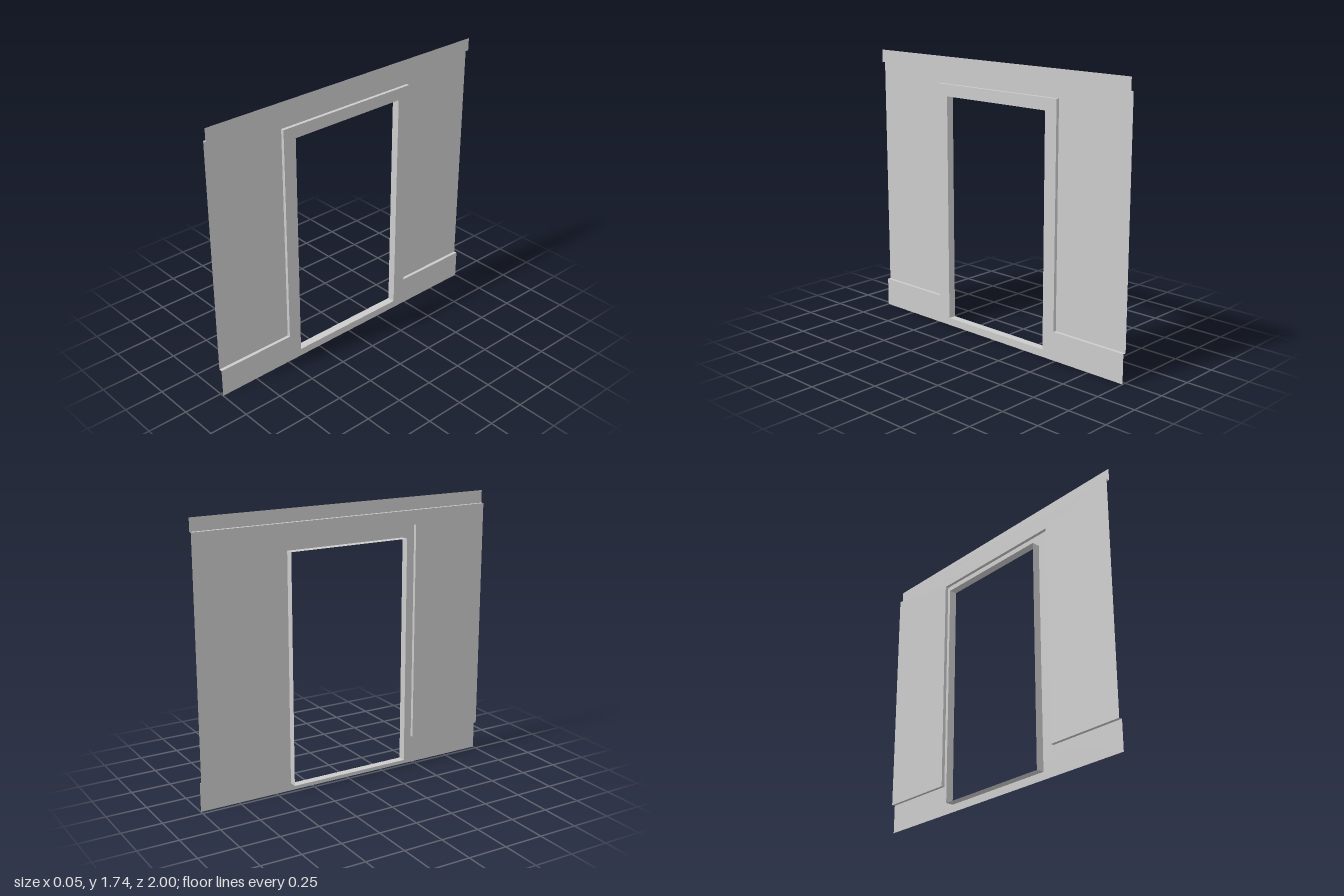
import * as THREE from 'three';

const FRONT = 0.025, WALL = 0.004, BACK = -0.025; // x of trim face, wall face and jamb end
const HALF = 1, TOP = 1.743, CORNICE = 1.663, BASE = 0.182;
const TRIM_Z = 0.485, TRIM_TOP = 1.572;
const DOOR_Z = 0.4, DOOR_BOTTOM = 0.048, DOOR_TOP = 1.497;

const material = new THREE.MeshStandardMaterial({
  color: 0xcccccc, flatShading: true, side: THREE.DoubleSide,
});

const toPoints = (list) => list.map(([z, y]) => new THREE.Vector2(-z, y));

const rect = (z0, z1, y0, y1) => [[z0, y0], [z1, y0], [z1, y1], [z0, y1]];

function addMesh(group, name, geometry) {
  const mesh = new THREE.Mesh(geometry, material);
  mesh.name = name;
  group.add(mesh);
}

// Flat sheet facing +x, outlined by [z, y] corners
function addSheet(group, name, x, outline, hole) {
  const shape = new THREE.Shape(toPoints(outline));
  if (hole) shape.holes.push(new THREE.Path(toPoints(hole)));
  const geometry = new THREE.ShapeGeometry(shape);
  geometry.rotateY(Math.PI / 2).translate(x, 0, 0);
  addMesh(group, name, geometry);
}

// Ribbon spanning x0 to x1 along a path of [z, y] corners
function addRibbon(group, name, x0, x1, path) {
  const positions = [];
  for (let i = 0; i < path.length - 1; i++) {
    const [za, ya] = path[i], [zb, yb] = path[i + 1];
    positions.push(x0, ya, za, x1, ya, za, x1, yb, zb);
    positions.push(x0, ya, za, x1, yb, zb, x0, yb, zb);
  }
  const geometry = new THREE.BufferGeometry();
  geometry.setAttribute('position', new THREE.Float32BufferAttribute(positions, 3));
  geometry.computeVertexNormals();
  addMesh(group, name, geometry);
}

export function createModel() {
  const group = new THREE.Group();
  group.name = 'doorwayWall';

  // Edge shared by the raised trim and the recessed wall
  const trimEdge = [
    [HALF, BASE], [TRIM_Z, BASE], [TRIM_Z, TRIM_TOP],
    [-TRIM_Z, TRIM_TOP], [-TRIM_Z, BASE], [-HALF, BASE],
  ];
  const opening = rect(-DOOR_Z, DOOR_Z, DOOR_BOTTOM, DOOR_TOP);

  // Recessed wall panel around the door trim
  addSheet(group, 'wallPanel', WALL, [...trimEdge, [-HALF, CORNICE], [HALF, CORNICE]]);

  // Raised baseboard and door surround in one piece
  addSheet(group, 'baseboardAndDoorTrim', FRONT,
    [...trimEdge, [-HALF, 0], [HALF, 0]], opening);
  addRibbon(group, 'trimStep', WALL, FRONT, trimEdge);

  // Raised band along the top
  addSheet(group, 'corniceBand', FRONT, rect(-HALF, HALF, CORNICE, TOP));
  addRibbon(group, 'corniceStep', WALL, FRONT, [[HALF, CORNICE], [-HALF, CORNICE]]);

  // Door lining running back through the wall
  addRibbon(group, 'doorJamb', BACK, FRONT, [...opening, opening[0]]);

  return group;
}
